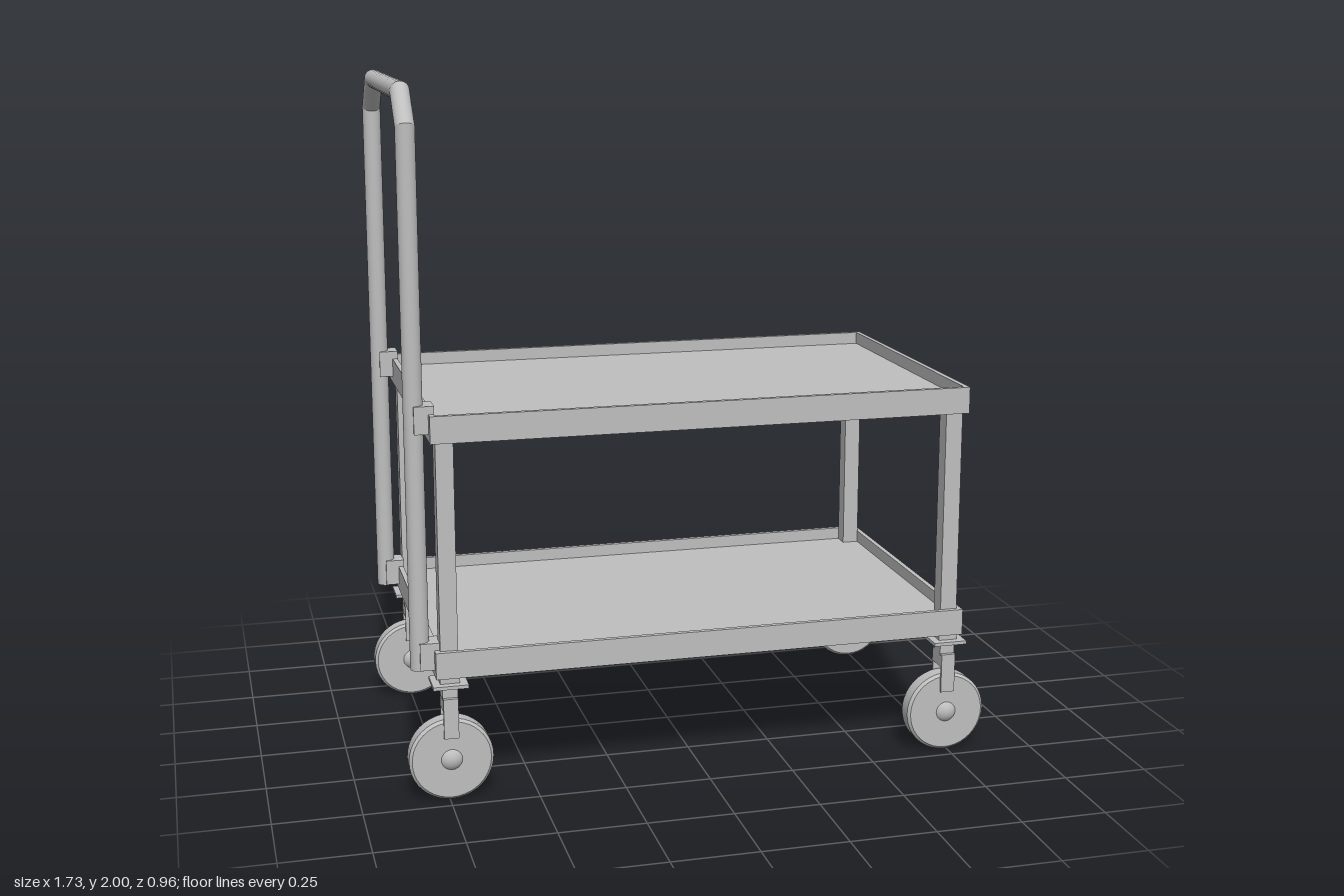
import * as THREE from 'three';

const steel = new THREE.MeshStandardMaterial({ color: 0xbfbfbf });
steel.name = 'grey steel';

function add(parent, name, geometry, x = 0, y = 0, z = 0) {
  const mesh = new THREE.Mesh(geometry, steel);
  mesh.name = name;
  mesh.position.set(x, y, z);
  parent.add(mesh);
  return mesh;
}

// Box given by its size, centre x and z, and bottom height
function box(parent, name, w, h, d, x, y0, z) {
  return add(parent, name, new THREE.BoxGeometry(w, h, d), x, y0 + h / 2, z);
}

// Shelf: solid deck with a raised lip all round
function makeShelf(name, y0) {
  const shelf = new THREE.Group();
  shelf.name = name;
  const w = 1.565, d = 0.94, t = 0.015;
  box(shelf, 'deck', w, 0.04, d, 0, y0, 0);
  const rect = (P, a, b) => new P([
    new THREE.Vector2(-a, -b), new THREE.Vector2(a, -b),
    new THREE.Vector2(a, b), new THREE.Vector2(-a, b)]);
  const outline = rect(THREE.Shape, w / 2, d / 2);
  outline.holes.push(rect(THREE.Path, w / 2 - t, d / 2 - t));
  const lip = new THREE.ExtrudeGeometry(outline, { depth: 0.037, bevelEnabled: false });
  lip.rotateX(-Math.PI / 2);
  add(shelf, 'lip', lip, 0, y0 + 0.04, 0);
  return shelf;
}

// Round tube along a path in the y-z plane, with mitred corners
function mitredTube(path, radius, sides) {
  const pos = [], nor = [], idx = [];
  const dirs = path.slice(1).map((p, i) => p.clone().sub(path[i]).normalize());
  dirs.forEach((dir, s) => {
    const side = new THREE.Vector2(-dir.y, dir.x);
    const base = pos.length / 3;
    for (const e of [s, s + 1]) {
      // Shear each end onto the mitre plane of the corner
      const a = dirs[Math.max(e - 1, 0)], b = dirs[Math.min(e, dirs.length - 1)];
      const plane = a.clone().add(b).normalize();
      for (let i = 0; i <= sides; i++) {
        const t = i / sides * Math.PI * 2, c = Math.cos(t), sn = Math.sin(t);
        const off = side.clone().multiplyScalar(c * radius);
        off.addScaledVector(dir, -off.dot(plane) / dir.dot(plane));
        pos.push(sn * radius, path[e].y + off.y, path[e].x + off.x);
        nor.push(sn, side.y * c, side.x * c);
      }
    }
    for (let i = 0; i < sides; i++) {
      const a = base + i, b = a + sides + 1;
      idx.push(a, a + 1, b, b, a + 1, b + 1);
    }
  });
  const g = new THREE.BufferGeometry();
  g.setAttribute('position', new THREE.Float32BufferAttribute(pos, 3));
  g.setAttribute('normal', new THREE.Float32BufferAttribute(nor, 3));
  // Turn the faces outward if the winding disagrees with the normals
  const v = k => new THREE.Vector3().fromArray(pos, idx[k] * 3);
  const face = v(1).sub(v(0)).cross(v(2).sub(v(0)));
  if (face.dot(new THREE.Vector3().fromArray(nor, 0)) < 0) idx.reverse();
  g.setIndex(idx);
  return g;
}

// Caster: swivel plates, stem, fork and wheel
function makeCaster(x, z) {
  const caster = new THREE.Group();
  caster.name = 'caster';
  caster.position.set(x, 0, z);
  box(caster, 'mountingBlock', 0.055, 0.016, 0.055, 0, 0.345, 0);
  box(caster, 'swivelPlate', 0.1, 0.01, 0.1, 0, 0.335, 0);
  box(caster, 'stem', 0.044, 0.04, 0.05, 0, 0.297, 0);
  box(caster, 'forkCrown', 0.042, 0.04, 0.074, 0, 0.262, 0);
  for (const s of [-1, 1]) box(caster, 'forkLeg', 0.042, 0.115, 0.008, 0, 0.185, s * 0.033);

  const r = 0.12, h = 0.029, b = 0.008;
  const faces = [[0, -h], [r - b, -h], [r - b, -h], [r, b - h], [r, b - h],
    [r, h - b], [r, h - b], [r - b, h], [r - b, h], [0, h]];
  const tyre = new THREE.LatheGeometry(faces.map(p => new THREE.Vector2(...p)), 40);
  tyre.rotateX(Math.PI / 2);
  add(caster, 'wheel', tyre, 0, r, 0);
  add(caster, 'hub', new THREE.SphereGeometry(0.042, 24, 16), 0, r, 0);
  return caster;
}

export function createModel() {
  const cart = new THREE.Group();
  cart.name = 'serviceCart';

  cart.add(makeShelf('lowerShelf', 0.363), makeShelf('upperShelf', 1.035));

  // Corner posts and casters
  for (const x of [-0.743, 0.743]) {
    for (const z of [-0.43, 0.43]) {
      box(cart, 'post', 0.05, 0.64, 0.05, x, 0.4, z);
      cart.add(makeCaster(x, z));
    }
  }

  // Push handle with cut corners
  const half = [[0.41, 0.38], [0.41, 1.885], [0.32, 1.973]];
  const path = [...half, ...half.map(([z, y]) => [-z, y]).reverse()]
    .map(p => new THREE.Vector2(...p));
  add(cart, 'handle', mitredTube(path, 0.027, 24), -0.82, 0, 0);

  // Handle end caps and the brackets joining it to the shelves
  for (const z of [-0.41, 0.41]) {
    const cap = new THREE.CircleGeometry(0.027, 24);
    cap.rotateX(Math.PI / 2);
    add(cart, 'handleEnd', cap, -0.82, 0.38, z);
    for (const y of [0.383, 1.057]) {
      box(cart, 'handleBracket', 0.056, 0.078, 0.066, -0.794, y, z);
    }
  }
  return cart;
}
